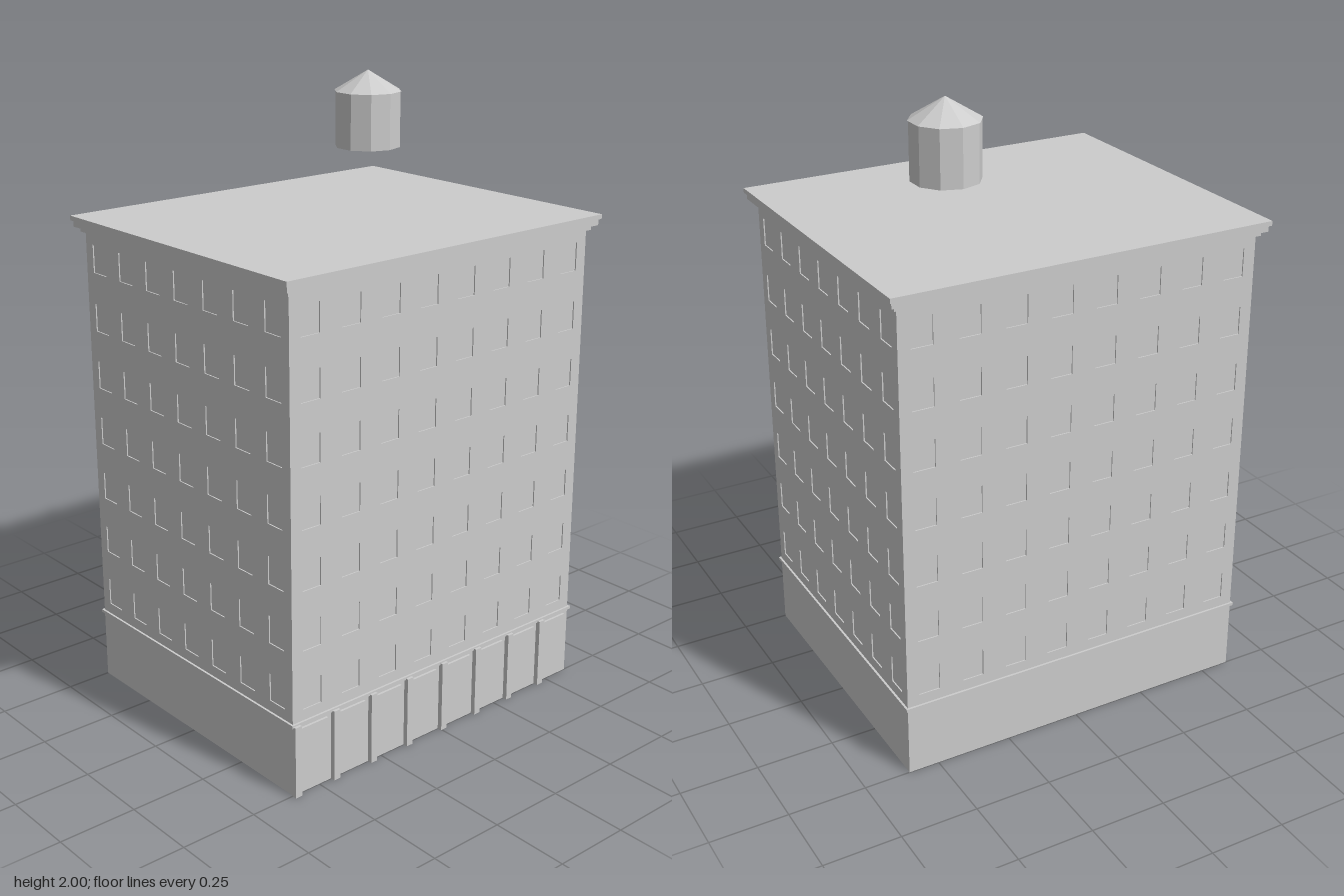
import * as THREE from 'three';

const stone = new THREE.MeshStandardMaterial({ color: 0xcccccc, flatShading: true, side: THREE.DoubleSide });
stone.name = 'pale grey stone';

const W = 1.2, D = 1.0, H = 1.55;      // body size
const FLOORS = 7, FLOOR_H = 0.19, FIRST = 0.32;
const WIN_W = 0.07, WIN_H = 0.09, RECESS = 0.004;

function add(parent, name, geometry, x = 0, y = 0, z = 0) {
  const mesh = new THREE.Mesh(geometry, stone);
  mesh.name = name;
  mesh.position.set(x, y, z);
  parent.add(mesh);
  return mesh;
}

function box(parent, name, w, h, d, x, y, z) {
  return add(parent, name, new THREE.BoxGeometry(w, h, d), x, y, z);
}

// A wall facing +z with its outer face at z = 0, pierced by shallow window recesses
function makeWall(name, width, bays) {
  const wall = new THREE.Group();
  wall.name = name;
  const shape = new THREE.Shape();
  shape.moveTo(-width / 2, 0);
  shape.lineTo(width / 2, 0);
  shape.lineTo(width / 2, H);
  shape.lineTo(-width / 2, H);
  shape.closePath();
  const pitch = width / bays;
  for (let f = 0; f < FLOORS; f++) {
    for (let b = 0; b < bays; b++) {
      const x = -width / 2 + pitch * (b + 0.5), y = FIRST + FLOOR_H * f;
      const l = x - WIN_W / 2, r = x + WIN_W / 2, lo = y - WIN_H / 2, hi = y + WIN_H / 2;
      const hole = new THREE.Path();
      hole.moveTo(l, lo);
      hole.lineTo(l, hi);
      hole.lineTo(r, hi);
      hole.lineTo(r, lo);
      hole.closePath();
      shape.holes.push(hole);
      add(wall, 'windowPane', new THREE.PlaneGeometry(WIN_W, WIN_H), x, y, -RECESS);
    }
  }
  add(wall, 'wallFace', new THREE.ExtrudeGeometry(shape, { depth: RECESS, bevelEnabled: false }), 0, 0, -RECESS);
  return wall;
}

export function createModel() {
  const model = new THREE.Group();
  model.name = 'apartmentBuilding';

  // Four walls, open underneath
  [['frontWall', W, 8, D, 0], ['leftWall', D, 7, W, 1], ['backWall', W, 8, D, 2], ['rightWall', D, 7, W, 3]]
    .forEach(([name, width, bays, across, turn]) => {
      const wall = makeWall(name, width, bays);
      const a = turn * Math.PI / 2;
      wall.rotation.y = a;
      wall.position.set(Math.sin(a) * across / 2, 0, Math.cos(a) * across / 2);
      model.add(wall);
    });

  // Belt course above the ground floor
  const belt = new THREE.Group();
  belt.name = 'beltCourse';
  model.add(belt);
  for (const s of [-1, 1]) {
    box(belt, 'beltLong', W + 0.014, 0.01, 0.007, 0, 0.235, s * (D / 2 + 0.0035));
    box(belt, 'beltShort', 0.007, 0.01, D, s * (W / 2 + 0.0035), 0.235, 0);
  }

  // Shopfront pillars and sign boards
  for (let i = 0; i < 8; i++) {
    const x = -W / 2 + 0.15 * i;
    box(model, 'shopPillar', 0.024, 0.235, 0.016, x + 0.009, 0.1175, D / 2 + 0.008);
    box(model, 'signBoard', 0.108, 0.03, 0.008, x + 0.075, 0.205, D / 2 + 0.004);
  }

  // Stepped cornice and flat roof
  [[1.54, 1.555, 0.011], [1.555, 1.575, 0.026], [1.575, 1.59, 0.033]].forEach(([lo, hi, out]) => {
    box(model, 'corniceStep', W + 2 * out, hi - lo, D + 2 * out, 0, (lo + hi) / 2, 0);
  });

  // Raised roof water tank with conical lid
  const tank = new THREE.Group();
  tank.name = 'waterTank';
  tank.position.set(0.265, 0, -0.153);
  model.add(tank);
  add(tank, 'tankBarrel', new THREE.CylinderGeometry(0.107, 0.107, 0.18, 10), 0, 1.845, 0);
  add(tank, 'tankLid', new THREE.ConeGeometry(0.11, 0.066, 10), 0, 1.967, 0);

  return model;
}
